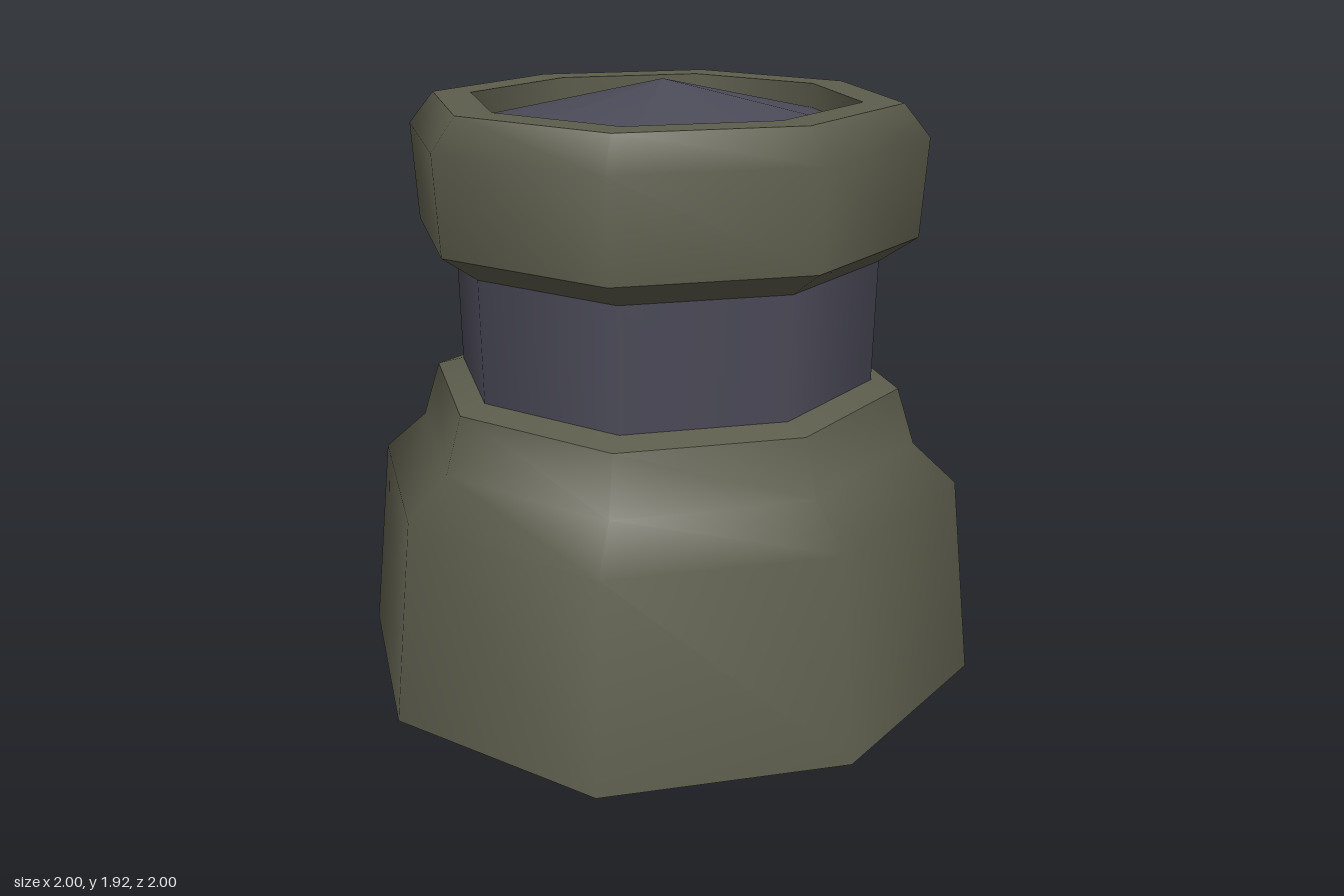
import * as THREE from 'three';

const SIDES = 8;

// Eight-sided lathe from [radius, height] pairs, with the diagonal corners pushed out slightly
function ring(name, material, profile) {
  const points = profile.map(([r, y]) => new THREE.Vector2(r, y));
  const geometry = new THREE.LatheGeometry(points, SIDES);
  const pos = geometry.attributes.position;
  for (let i = 0; i < pos.count; i++) {
    const corner = Math.floor(i / points.length);
    const s = corner % 2 ? 1.03 : 1;
    pos.setXYZ(i, pos.getX(i) * s, pos.getY(i), pos.getZ(i) * s);
  }
  const mesh = new THREE.Mesh(geometry, material);
  mesh.name = name;
  return mesh;
}

export function createModel() {
  const olive = new THREE.MeshStandardMaterial({ color: 0x5d5d4d, side: THREE.DoubleSide });
  olive.name = 'olive casing';
  const slate = new THREE.MeshStandardMaterial({ color: 0x4b4a58, side: THREE.DoubleSide });
  slate.name = 'slate metal';

  const model = new THREE.Group();
  model.name = 'cappedPost';

  // Hollow base, open underneath
  const base = new THREE.Group();
  base.name = 'base';
  base.add(
    ring('baseShell', olive, [[1, 0], [0.935, 0.65], [0.8, 0.775], [0.745, 0.957]]),
    ring('baseLedge', olive, [[0.745, 0.957], [0.66, 0.982]])
  );

  // Neck between base and head
  const neck = ring('neck', slate, [[0.66, 0.982], [0.67, 1.372]]);

  // Head: sloped underside, rounded side, flat rim and recess wall
  const head = new THREE.Group();
  head.name = 'head';
  head.add(
    ring('headUnderside', olive, [[0.67, 1.372], [0.787, 1.453]]),
    ring('headSide', olive, [[0.787, 1.453], [0.808, 1.765], [0.728, 1.867]]),
    ring('headRim', olive, [[0.728, 1.867], [0.605, 1.867]]),
    ring('recessWall', olive, [[0.605, 1.867], [0.605, 1.787]])
  );

  // Shallow pointed cap sunk into the rim
  const cap = ring('cap', slate, [[0.605, 1.787], [0, 1.925]]);

  model.add(base, neck, head, cap);
  return model;
}
